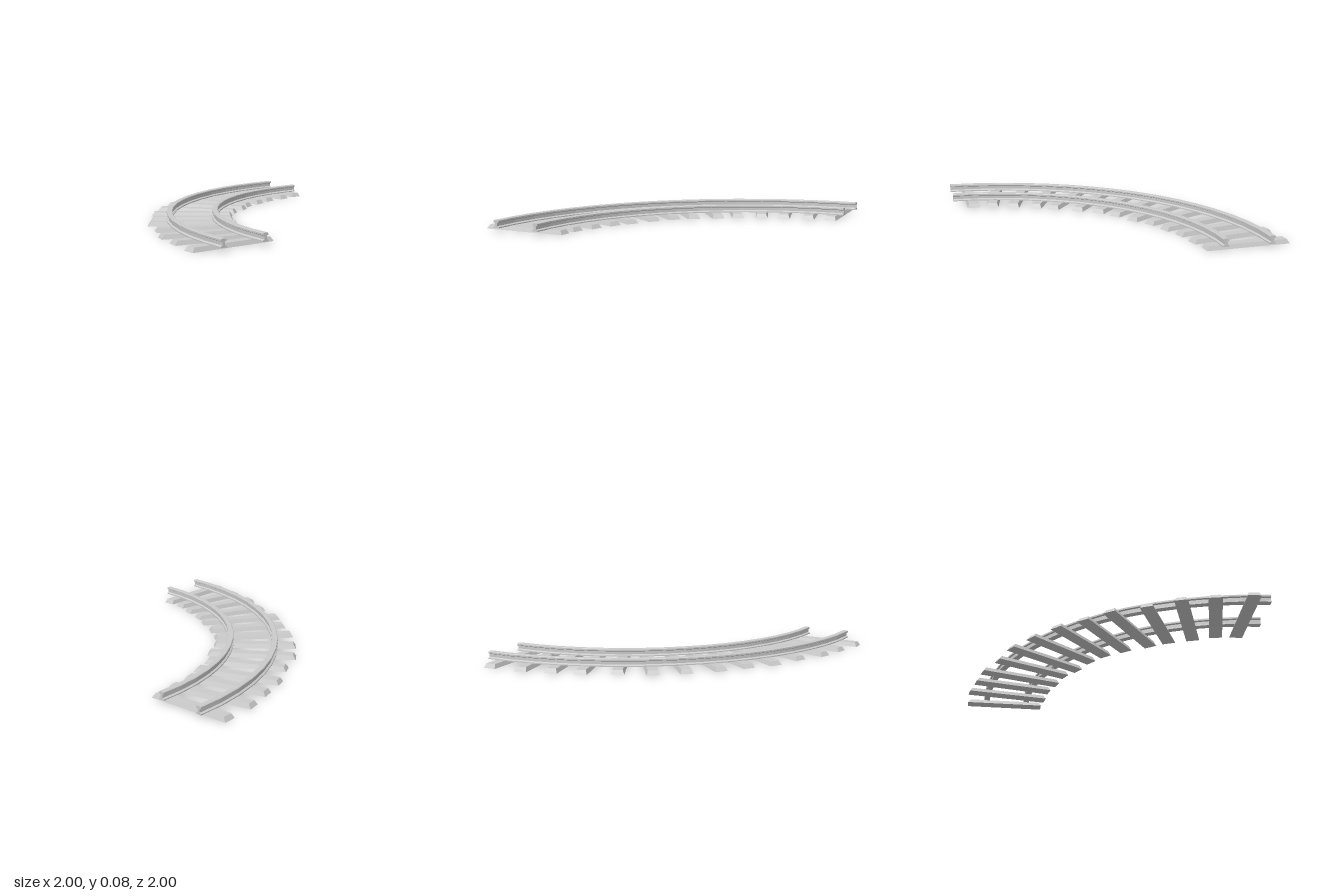
import * as THREE from 'three';

const material = new THREE.MeshStandardMaterial({ color: 0xcccccc, flatShading: true });

// Slightly irregular sleepers: outer end x, z and inner end x, z
const SLEEPERS = [
  [-0.995, -0.89, -0.431, -0.931],
  [-0.97, -0.654, -0.399, -0.782],
  [-0.91, -0.457, -0.367, -0.612],
  [-0.851, -0.266, -0.309, -0.468],
  [-0.734, -0.059, -0.25, -0.314],
  [-0.638, 0.149, -0.16, -0.202],
  [-0.5, 0.319, -0.074, -0.053],
  [-0.335, 0.484, 0.021, 0.053],
  [-0.165, 0.601, 0.154, 0.144],
  [-0.005, 0.723, 0.314, 0.229],
  [0.223, 0.809, 0.431, 0.293],
  [0.426, 0.91, 0.585, 0.346],
  [0.633, 0.955, 0.729, 0.399],
  [0.865, 1.0, 0.862, 0.41],
];
const SLEEPER_HEIGHT = 0.028;
const SLEEPER_WIDTH = 0.087;

// Box whose top face is drawn in on all four sides
function makeSleeper([x0, z0, x1, z1]) {
  const length = Math.hypot(x1 - x0, z1 - z0);
  const geometry = new THREE.BoxGeometry(length, SLEEPER_HEIGHT, SLEEPER_WIDTH);
  const p = geometry.attributes.position;
  for (let i = 0; i < p.count; i++) {
    if (p.getY(i) < 0) continue;
    p.setX(i, p.getX(i) - Math.sign(p.getX(i)) * 0.018);
    p.setZ(i, p.getZ(i) - Math.sign(p.getZ(i)) * 0.011);
  }
  geometry.computeVertexNormals();
  const mesh = new THREE.Mesh(geometry, material);
  mesh.position.set((x0 + x1) / 2, SLEEPER_HEIGHT / 2, (z0 + z1) / 2);
  mesh.rotation.y = -Math.atan2(z1 - z0, x1 - x0);
  return mesh;
}

// I-shaped rail section (half width, height), mirrored for the other side
function railShape() {
  const half = [
    [0.021, 0.027], [0.021, 0.034], [0.009, 0.041],
    [0.009, 0.061], [0.019, 0.066], [0.019, 0.076], [0.015, 0.08],
  ];
  const mirrored = half.map(([x, y]) => [-x, y]).reverse();
  return new THREE.Shape([...half, ...mirrored].map(([x, y]) => new THREE.Vector2(x, y)));
}

// Straight extrusion bent through a quarter circle about (1, -1)
function makeRail(radius) {
  const geometry = new THREE.ExtrudeGeometry(railShape(), { depth: 1, steps: 16, bevelEnabled: false });
  const p = geometry.attributes.position;
  for (let i = 0; i < p.count; i++) {
    const r = radius - p.getX(i);
    const angle = p.getZ(i) * Math.PI / 2;
    p.setXYZ(i, 1 - r * Math.cos(angle), p.getY(i), -1 + r * Math.sin(angle));
  }
  geometry.computeVertexNormals();
  return new THREE.Mesh(geometry, material);
}

export function createModel() {
  const model = new THREE.Group();
  model.name = 'curvedTrack';

  const sleepers = new THREE.Group();
  sleepers.name = 'sleepers';
  SLEEPERS.forEach((ends, i) => {
    const sleeper = makeSleeper(ends);
    sleeper.name = `sleeper${i + 1}`;
    sleepers.add(sleeper);
  });
  model.add(sleepers);

  for (const [name, radius] of [['outerRail', 1.852], ['innerRail', 1.548]]) {
    const rail = makeRail(radius);
    rail.name = name;
    model.add(rail);
  }
  return model;
}
